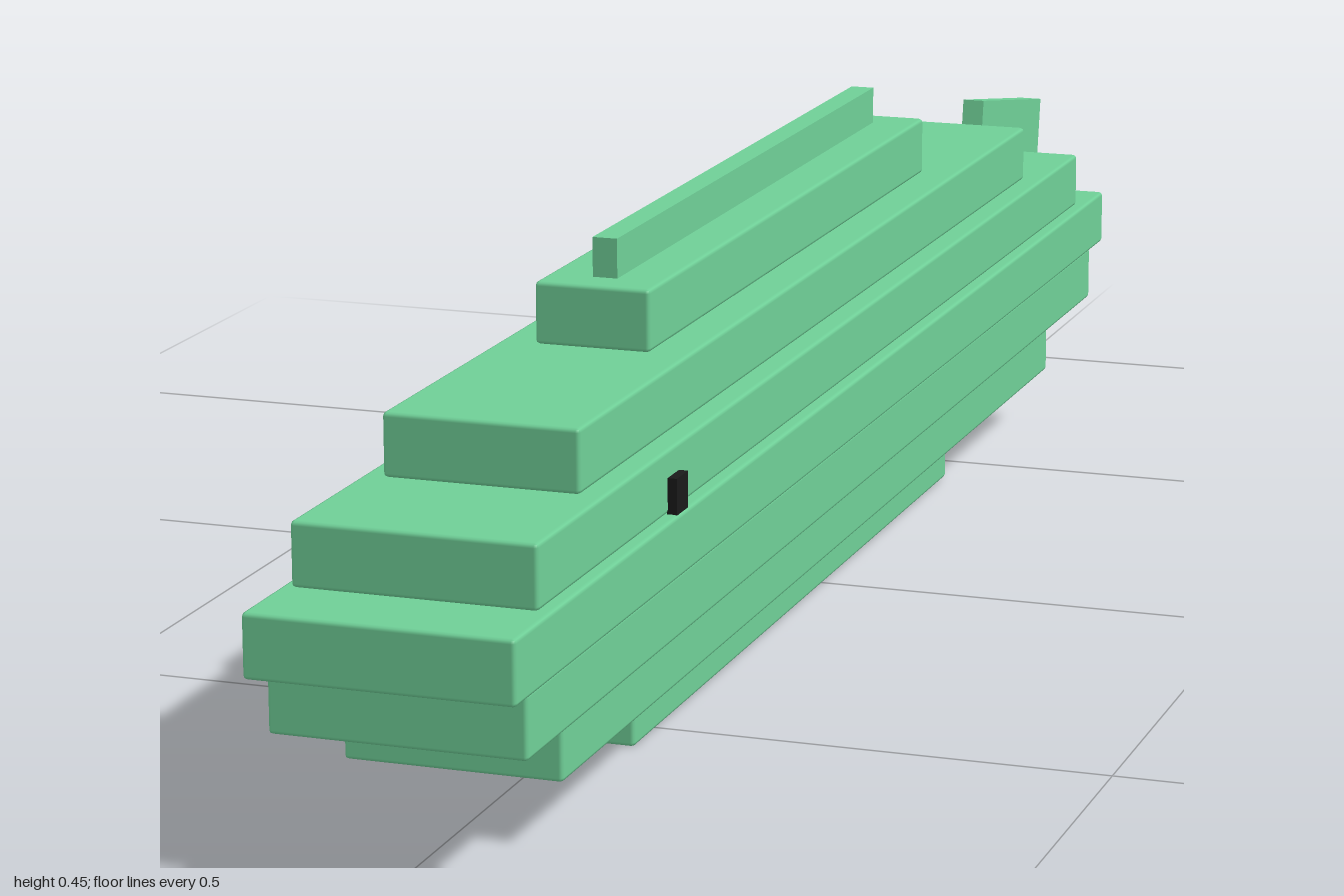
import * as THREE from 'three';
import { RoundedBoxGeometry } from 'three/addons/geometries/RoundedBoxGeometry.js';

export function createModel() {
  const model = new THREE.Group();
  const green = new THREE.MeshStandardMaterial({ color: 0x6fcf97 });
  green.name = 'bodyGreen';
  const black = new THREE.MeshStandardMaterial({ color: 0x1a1a1a });
  black.name = 'eyeBlack';

  function add(name, geometry, material, x, y, z) {
    const mesh = new THREE.Mesh(geometry, material);
    mesh.name = name;
    mesh.position.set(x, y, z);
    model.add(mesh);
    return mesh;
  }

  // Stacked body slabs with softened edges: width, back z, front z
  const slabHeight = 0.059;
  const slabs = [
    [0.130, -0.437, 0.562],
    [0.204, -0.715, 0.840],
    [0.236, -0.840, 0.962],
    [0.246, -0.877, 1.000],
    [0.225, -0.797, 0.920],
    [0.184, -0.644, 0.766],
    [0.112, -0.370, 0.490],
  ];
  slabs.forEach(([width, back, front], i) => {
    const geometry = new RoundedBoxGeometry(width, slabHeight, front - back, 1, 0.004);
    add(`bodySlab${i + 1}`, geometry, green, 0, 0.0025 + slabHeight * (i + 0.5), (front + back) / 2);
  });

  // Narrow ridge along the back
  add('dorsalFin', new THREE.BoxGeometry(0.024, 0.043, 0.785), green, 0, 0.4315, 0.062);

  // Upright tail plate, tipped backwards
  const tail = add('tailFin', new THREE.BoxGeometry(0.024, 0.265, 0.249), green, 0, 0.21, -0.855);
  tail.rotation.x = -0.17;

  // Eyes on both sides
  for (const side of [1, -1]) {
    add(side > 0 ? 'leftEye' : 'rightEye', new THREE.BoxGeometry(0.0095, 0.034, 0.03), black, side * 0.1165, 0.255, 0.585);
  }

  return model;
}
